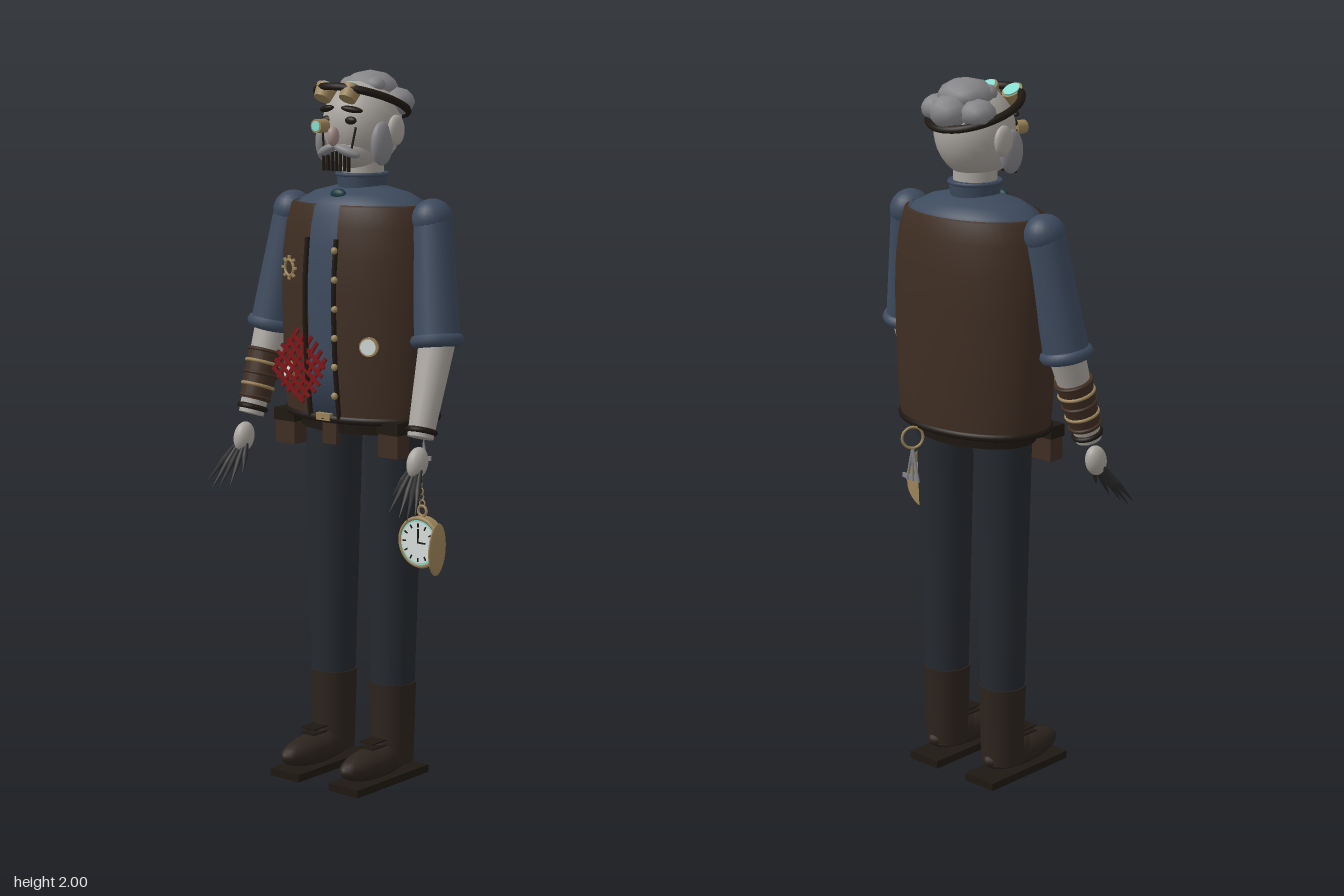
import * as THREE from 'three';

const C = {
  vest: 0x3f2e23, trim: 0x1f1812, shirt: 0x3d4a5d, pants: 0x25292f, boot: 0x2c231d, skin: 0xaaa59f, hair: 0x858588,
  brass: 0x9c8459, lens: 0x86dccf, red: 0x7d1518, claw: 0x2a2a2c, gem: 0x18383c, white: 0xd5dedc, nose: 0xa08a84,
};
const V = (x, y, z) => new THREE.Vector3(x, y, z);

export function createModel() {
  const root = new THREE.Group();
  const body = new THREE.Group();
  body.name = 'figure';
  body.position.x = -0.034;
  root.add(body);

  const mats = {};
  const mat = (c) => (mats[c] ??= new THREE.MeshStandardMaterial({ color: C[c], side: THREE.DoubleSide }));
  const add = (name, geo, color, p = [0, 0, 0], s = [1, 1, 1], r = [0, 0, 0], parent = body) => {
    const m = new THREE.Mesh(geo, mat(color));
    m.name = name;
    m.position.set(...p);
    m.scale.set(...s);
    m.rotation.set(...r);
    parent.add(m);
    return m;
  };
  const ball = (name, color, p, s, r) => add(name, new THREE.SphereGeometry(1, 24, 16), color, p, s, r);
  const box = (name, color, p, s, r) => add(name, new THREE.BoxGeometry(1, 1, 1), color, p, s, r);
  const disc = (name, color, p, rad, h, r = [Math.PI / 2, 0, 0]) =>
    add(name, new THREE.CylinderGeometry(rad, rad, h, 24), color, p, [1, 1, 1], r);
  // tapered cylinder between two points
  const limb = (name, color, a, b, ra, rb, seg = 20) => {
    const d = b.clone().sub(a);
    const m = add(name, new THREE.CylinderGeometry(rb, ra, d.length(), seg), color, a.clone().lerp(b, 0.5).toArray());
    m.quaternion.setFromUnitVectors(V(0, 1, 0), d.normalize());
    return m;
  };
  // ring around the direction d
  const ring = (name, color, p, R, t, d = V(0, 1, 0)) => {
    const m = add(name, new THREE.TorusGeometry(R, t, 8, 32), color, p.toArray());
    m.quaternion.setFromUnitVectors(V(0, 0, 1), d.clone().normalize());
    return m;
  };
  const lathe = (pts, start = 0, len = Math.PI * 2) =>
    new THREE.LatheGeometry(pts.map((p) => new THREE.Vector2(...p)), 48, start, len);

  // Torso: shirt and open vest, flattened front to back
  const flat = [1, 1, 0.69], mid = [0, 0, -0.036];
  add('shirt', lathe([[0, 1.05], [0.22, 1.05], [0.243, 1.2], [0.248, 1.4], [0.24, 1.52], [0.222, 1.61],
    [0.195, 1.645], [0.15, 1.668], [0.08, 1.685], [0.05, 1.69]]), 'shirt', mid, flat);
  add('vest', lathe([[0.24, 1.045], [0.247, 1.12], [0.253, 1.25], [0.256, 1.4], [0.252, 1.5], [0.24, 1.58],
    [0.223, 1.635], [0.212, 1.64]], 0.2, Math.PI * 2 - 0.4), 'vest', mid, flat);
  add('vestHem', new THREE.TorusGeometry(0.238, 0.011, 8, 48), 'trim', [0, 1.05, -0.036], [1, 0.69, 1], [Math.PI / 2, 0, 0]);
  add('belt', new THREE.CylinderGeometry(0.2, 0.195, 0.045, 40), 'trim', [0, 1.03, -0.036], flat);
  box('buckle', 'brass', [0, 1.055, 0.128], [0.05, 0.02, 0.015]);
  box('beltTab', 'vest', [0, 1.005, 0.1], [0.05, 0.06, 0.015]);
  for (const s of [-1, 1]) {
    const edge = [V(s * 0.052, 1.05, 0.125), V(s * 0.052, 1.2, 0.142), V(s * 0.052, 1.42, 0.148), V(s * 0.052, 1.55, 0.137)];
    add('vestEdge', new THREE.TubeGeometry(new THREE.CatmullRomCurve3(edge), 20, 0.007, 8), 'trim');
    box('pouch', 'vest', [s * 0.188, 1.0, 0.055], [0.07, 0.095, 0.05]);
    box('pouchFlap', 'trim', [s * 0.188, 1.035, 0.057], [0.076, 0.035, 0.056]);
  }
  for (let i = 0; i < 6; i++) ball('button', 'brass', [0.056, 1.12 + i * 0.08, 0.15], [0.01, 0.01, 0.008]);

  // Chest ornaments
  ring('gear', 'brass', V(-0.13, 1.46, 0.125), 0.022, 0.004, V(-0.3, 0, 1));
  for (let i = 0; i < 8; i++) {
    const a = (i * Math.PI) / 4;
    box('gearTooth', 'brass', [-0.13 + 0.029 * Math.cos(a), 1.46 + 0.029 * Math.sin(a), 0.125 + 0.009 * Math.cos(a)],
      [0.01, 0.007, 0.007], [0, 0, a]);
  }
  for (const [x, y] of [[0.145, 1.26], [-0.145, 1.17]]) {
    const t = [Math.PI / 2, 0, -Math.sign(x) * 0.4];
    disc('badgeRim', 'brass', [x, y, 0.108], 0.027, 0.016, t);
    disc('badge', 'white', [x, y, 0.11], 0.022, 0.018, t);
  }
  // Woven red cloth
  for (let i = 0; i < 6; i++) {
    const k = (i - 2.5) * 0.025;
    box('clothWarp', 'red', [-0.08 + k * 0.8, 1.195 - k * 0.6, 0.14], [0.01, 0.19 - Math.abs(k) * 0.6, 0.007], [0, 0, -0.64]);
    box('clothWeft', 'red', [-0.08 + k * 0.6, 1.185 + k * 0.8, 0.145], [0.18 - Math.abs(k) * 0.6, 0.009, 0.007], [0, 0, -0.64]);
  }

  // Neck and collar
  add('collar', new THREE.CylinderGeometry(0.073, 0.066, 0.055, 32), 'shirt', [0, 1.695, -0.036]);
  ring('collarRim', 'shirt', V(0, 1.717, -0.036), 0.07, 0.006);
  add('neck', new THREE.CylinderGeometry(0.06, 0.06, 0.1, 24), 'skin', [0, 1.73, -0.036]);
  ball('brooch', 'gem', [0, 1.665, 0.066], [0.027, 0.017, 0.014]);

  // Head
  ball('head', 'skin', [0, 1.855, -0.037], [0.109, 0.125, 0.113]);
  ball('jaw', 'skin', [0, 1.79, -0.005], [0.075, 0.06, 0.072]);
  ball('nose', 'nose', [0, 1.825, 0.088], [0.016, 0.027, 0.018]);
  for (const s of [-1, 1]) {
    ball('sideburn', 'hair', [s * 0.1, 1.805, 0], [0.022, 0.06, 0.04]);
    ball('ear', 'skin', [s * 0.113, 1.84, -0.045], [0.016, 0.042, 0.032]);
    ball('eye', 'trim', [s * 0.042, 1.868, 0.064], [0.02, 0.011, 0.01]);
    ball('eyebrow', 'trim', [s * 0.045, 1.898, 0.062], [0.032, 0.009, 0.014], [0, s * 0.35, -s * 0.15]);
    ball('mustache', 'hair', [s * 0.036, 1.785, 0.072], [0.04, 0.014, 0.018], [0, s * 0.3, -s * 0.35]);
    limb('cheekLine', 'trim', V(s * 0.06, 1.85, 0.063), V(s * 0.05, 1.79, 0.07), 0.003, 0.003, 6);
    // Goggles pushed up on the forehead
    const lo = V(s * 0.045, 1.925, 0.082), hi = V(s * 0.045, 1.958, 0.06);
    limb('goggleCup', 'brass', lo, hi, 0.024, 0.03);
    limb('goggleLens', 'lens', hi.clone().lerp(lo, 0.1), hi.clone().lerp(lo, -0.1), 0.024, 0.024);
  }
  add('goggleStrap', new THREE.TorusGeometry(0.124, 0.011, 8, 40), 'trim', [0, 1.917, -0.036], [1, 1.08, 1], [Math.PI / 2 - 0.33, 0, 0]);
  for (let i = 0; i < 7; i++) box('mouthBar', 'trim', [(i - 3) * 0.015, 1.757, 0.075], [0.006, 0.055, 0.008]);
  disc('monocle', 'brass', [-0.043, 1.852, 0.09], 0.019, 0.04);
  disc('monocleLens', 'lens', [-0.043, 1.852, 0.1], 0.014, 0.024);

  // Lumpy curls
  for (const [x, y, z, r, h] of [[0, 1.952, -0.07, 0.08, 0.05], [0, 1.915, -0.13, 0.058, 0.05], [-0.072, 1.915, -0.1, 0.05, 0.04],
    [0.072, 1.915, -0.1, 0.05, 0.04], [-0.045, 1.96, -0.038, 0.03, 0.025], [0.045, 1.96, -0.038, 0.03, 0.025]])
    add('curl', new THREE.IcosahedronGeometry(1, 1), 'hair', [x, y, z], [r, h, r]);

  // Arms, hands and clawed fingers
  for (const s of [-1, 1]) {
    const sh = V(s * 0.252, 1.605, -0.032), el = V(s * 0.3, 1.28, 0.005), wr = V(s * 0.31, 1.025, 0.09);
    const dir = wr.clone().sub(el), at = (t) => el.clone().lerp(wr, t);
    ball('shoulder', 'shirt', sh.toArray(), [0.056, 0.056, 0.06]);
    limb('sleeve', 'shirt', sh, el, 0.055, 0.064);
    ring('sleeveCuff', 'shirt', el, 0.056, 0.019, el.clone().sub(sh));
    limb('forearm', 'skin', at(-0.05), wr, 0.051, 0.036);
    if (s < 0) {
      limb('bracer', 'vest', at(0.3), at(0.85), 0.051, 0.043);
      for (let i = 0; i < 5; i++) ring('bracerBand', i % 2 ? 'brass' : 'vest', at(0.32 + i * 0.125), 0.051 - i * 0.002, 0.005, dir);
    }
    ring('wristband', 'trim', at(0.93), 0.037, 0.008, dir);
    ball('hand', 'skin', [s * 0.318, 0.96, 0.112], [0.026, 0.044, 0.034], [-0.3, 0, 0]);
    [[0.381, 0.835, 0.2], [0.357, 0.82, 0.205], [0.33, 0.825, 0.205], [0.292, 0.835, 0.2], [0.275, 0.87, 0.165]].forEach((p, i) => {
      const tip = V(s * p[0], p[1], p[2]);
      const base = V(s * (0.336 - i * 0.009), 0.945, 0.12), knuckle = base.clone().lerp(tip, 0.45);
      limb('finger', 'claw', base, knuckle, 0.005, 0.009, 8);
      limb('claw', 'claw', knuckle, tip, 0.009, 0.001, 8);
    });
  }

  // Pocket watch with open lid
  const wx = 0.334, wy = 0.745;
  disc('watchCase', 'brass', [wx, wy, 0.11], 0.071, 0.026);
  ring('watchRim', 'brass', V(wx, wy, 0.122), 0.066, 0.006, V(0, 0, 1));
  disc('watchFace', 'lens', [wx, wy, 0.114], 0.062, 0.024);
  disc('watchDial', 'white', [wx, wy, 0.115], 0.057, 0.025);
  for (let i = 0; i < 12; i++) {
    const a = (i * Math.PI) / 6;
    box('hourMark', 'trim', [wx + 0.048 * Math.sin(a), wy + 0.048 * Math.cos(a), 0.128], [0.004, 0.011, 0.003], [0, 0, -a]);
  }
  box('minuteHand', 'trim', [wx, wy + 0.018, 0.129], [0.004, 0.04, 0.003]);
  box('hourHand', 'trim', [wx + 0.012, wy, 0.129], [0.026, 0.004, 0.003]);
  add('watchLid', new THREE.SphereGeometry(0.071, 28, 12), 'brass', [0.427, wy, 0.163], [1, 1, 0.13], [0, -1.22, 0]);
  ring('watchLoop', 'brass', V(wx, 0.83, 0.11), 0.014, 0.004, V(0, 0, 1));
  for (let i = 0; i < 6; i++) ring('chainLink', 'brass', V(wx - i * 0.003, 0.85 + i * 0.017, 0.11), 0.009, 0.002, V(i % 2, 0, 1 - (i % 2)));

  // Legs and boots
  for (const s of [-1, 1]) {
    const x = s * 0.11;
    limb('trouserLeg', 'pants', V(x, 0.27, -0.038), V(x, 1.05, -0.042), 0.063, 0.083, 28);
    limb('bootShaft', 'boot', V(x, 0.05, -0.038), V(x, 0.285, -0.038), 0.06, 0.067, 28);
    ball('bootFoot', 'boot', [x, 0.062, 0.038], [0.052, 0.046, 0.146]);
    ball('bootInstep', 'boot', [x, 0.07, 0.0], [0.05, 0.047, 0.09]);
    box('bootSole', 'trim', [x, 0.011, 0.022], [0.108, 0.022, 0.316]);
    for (const y of [0.11, 0.125]) box('bootLace', 'trim', [x, y, 0.05], [0.05, 0.004, 0.06]);
  }

  // Keys hanging at the back
  ring('keyRing', 'brass', V(0.07, 1.015, -0.212), 0.03, 0.004, V(0.9, 0, 0.5));
  for (const d of [-1, 0, 1]) {
    limb('key', 'hair', V(0.07, 0.985, -0.212), V(0.07 + d * 0.022, 0.89, -0.212), 0.004, 0.004, 8);
    box('keyBit', 'hair', [0.078 + d * 0.022, 0.9, -0.212], [0.016, 0.014, 0.004]);
  }
  return root;
}
